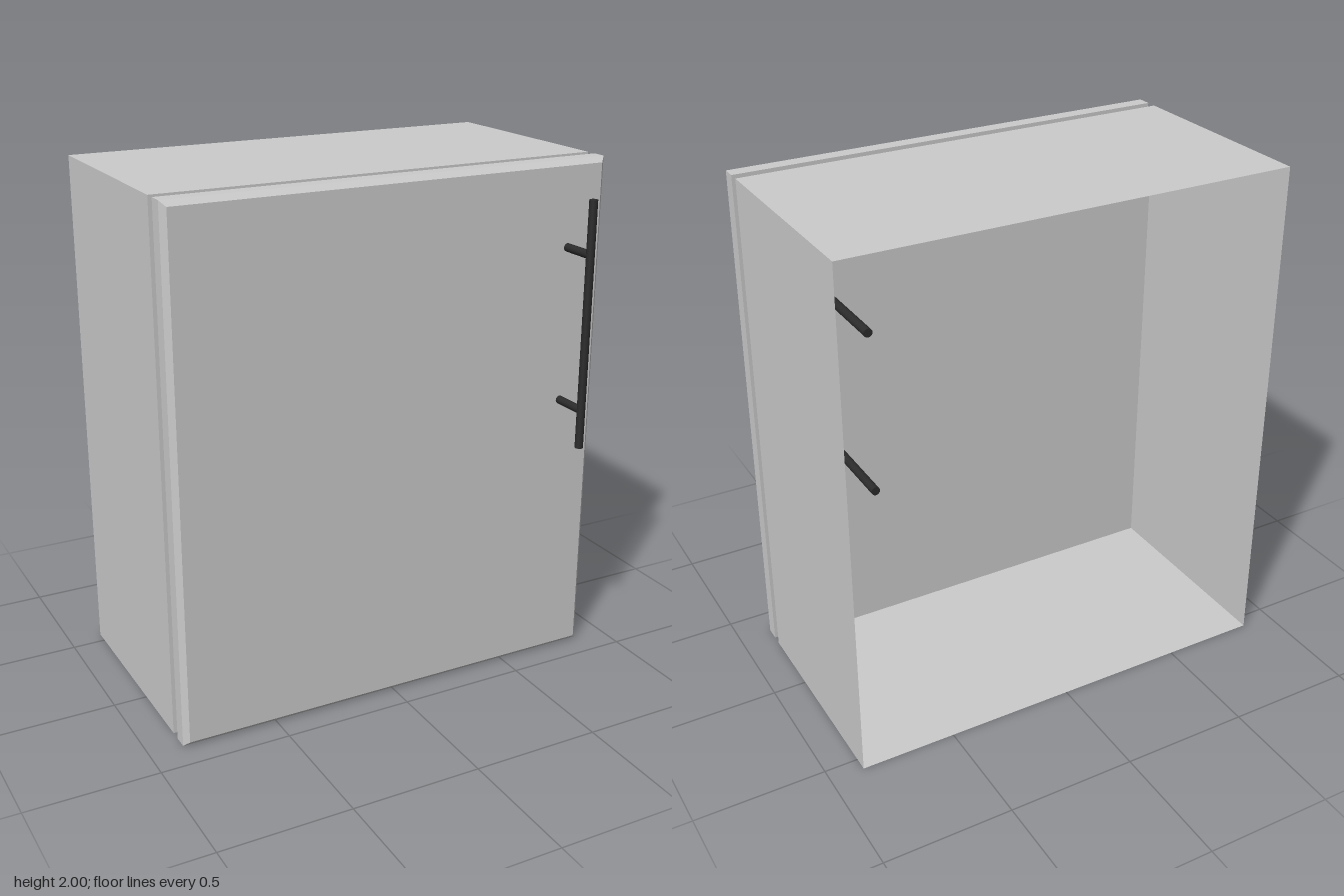
import * as THREE from 'three';

const WIDTH = 1.74, HEIGHT = 2;

const grey = new THREE.MeshStandardMaterial({ color: 0xcccccc, flatShading: true, side: THREE.DoubleSide });
const dark = new THREE.MeshStandardMaterial({ color: 0x2b2b2b });

function addMesh(parent, name, geometry, material) {
  const mesh = new THREE.Mesh(geometry, material);
  mesh.name = name;
  parent.add(mesh);
  return mesh;
}

// Thin-walled box, open at the back; the back rim leans very slightly
function carcassGeometry() {
  const front = 0.285, back = -0.555;
  const geo = new THREE.BoxGeometry(WIDTH, HEIGHT, front - back);
  geo.translate(0, HEIGHT / 2, (front + back) / 2);
  geo.setIndex(Array.from(geo.index.array).slice(0, 30)); // drop the back face
  geo.clearGroups();
  const p = geo.attributes.position;
  for (let i = 0; i < p.count; i++) {
    if (p.getZ(i) < 0 && p.getY(i) > 1) p.setZ(i, back + 0.007);
  }
  geo.computeVertexNormals();
  return geo;
}

// Slab whose front edges are chamfered
function doorGeometry() {
  const back = 0.325, front = 0.4, chamfer = 0.02;
  const geo = new THREE.BoxGeometry(WIDTH, HEIGHT, front - back, 1, 1, 2);
  geo.translate(0, 0, (front + back) / 2);
  const p = geo.attributes.position;
  for (let i = 0; i < p.count; i++) {
    const z = p.getZ(i);
    if (z > front - 0.001) {
      p.setX(i, p.getX(i) - Math.sign(p.getX(i)) * chamfer);
      p.setY(i, p.getY(i) - Math.sign(p.getY(i)) * chamfer);
    } else if (z > back + 0.001) {
      p.setZ(i, front - chamfer);
    }
  }
  geo.translate(0, HEIGHT / 2, 0);
  geo.computeVertexNormals();
  return geo;
}

export function createModel() {
  const model = new THREE.Group();
  model.name = 'wallCabinet';

  addMesh(model, 'carcass', carcassGeometry(), grey);
  addMesh(model, 'door', doorGeometry(), grey);

  // Bar handle with two long posts running through the door into the cabinet
  const handle = new THREE.Group();
  handle.name = 'handle';
  handle.position.x = 0.714;
  model.add(handle);

  const radius = 0.016, barZ = 0.539;
  const bar = addMesh(handle, 'handleBar', new THREE.CylinderGeometry(radius, radius, 0.95, 16), dark);
  bar.position.set(0, 1.405, barZ);

  const postBack = -0.43;
  const postGeo = new THREE.CylinderGeometry(radius, radius, barZ - postBack, 16).rotateX(Math.PI / 2);
  for (const [name, y] of [['upperPost', 1.677], ['lowerPost', 1.08]]) {
    addMesh(handle, name, postGeo, dark).position.set(0, y, (barZ + postBack) / 2);
  }

  return model;
}
